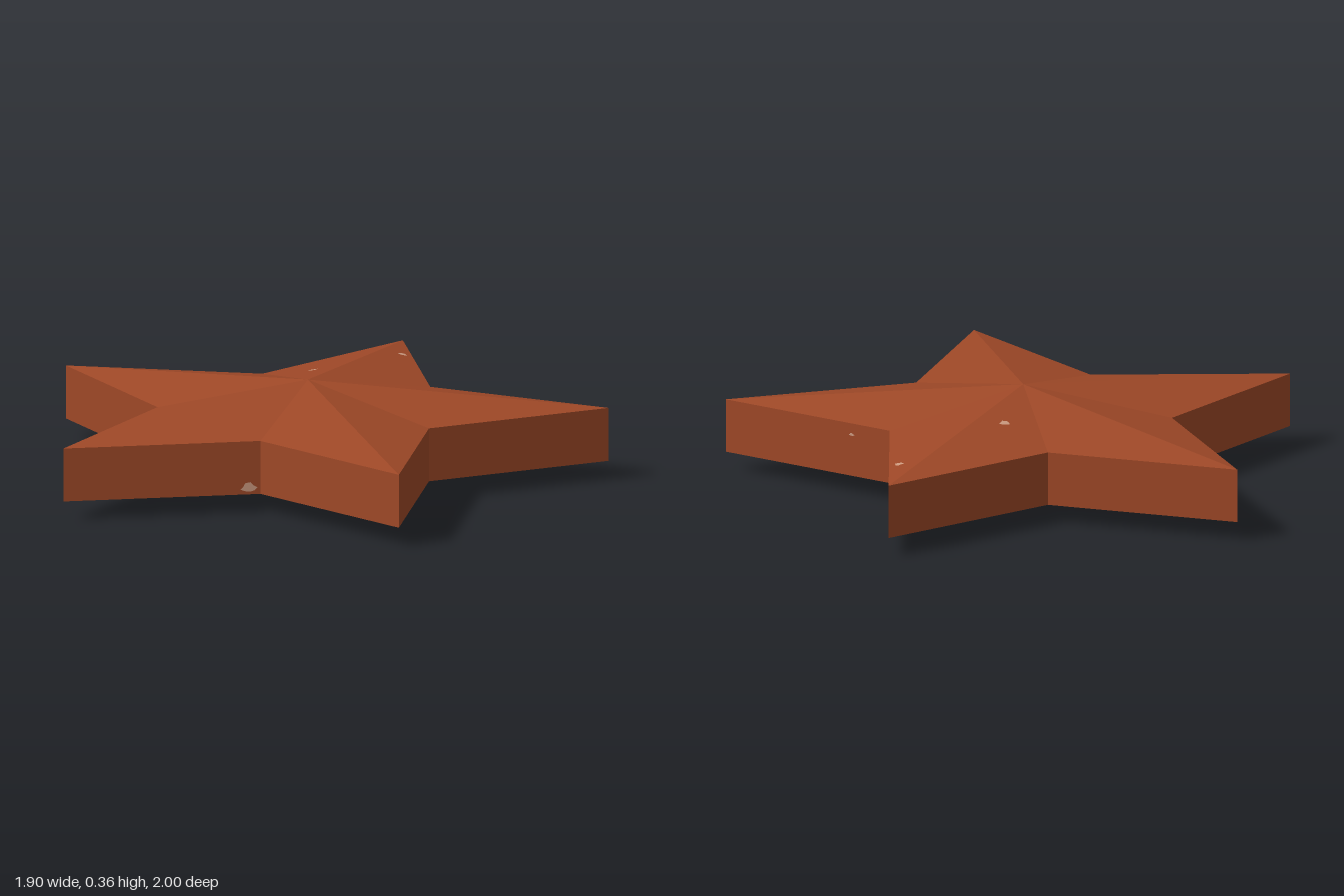
import * as THREE from 'three';

const CX = 0.1, TIP = 1.05, NOTCH = 0.525;
const RIM_TOP = 0.26, RIM_LOW = 0.07, APEX_TOP = 0.36, APEX_LOW = 0.003;
const STEP = Math.PI / 5;

// Outline corner i: even corners are notches, odd corners are tips
function corner(i, y) {
  const r = i % 2 ? TIP : NOTCH;
  return new THREE.Vector3(CX + r * Math.cos(i * STEP), y, r * Math.sin(i * STEP));
}

// The three kinds of facet, each for outline edge i
const upper = new THREE.Vector3(CX, APEX_TOP, 0);
const lower = new THREE.Vector3(CX, APEX_LOW, 0);
const facets = {
  top: (i) => [upper, corner(i + 1, RIM_TOP), corner(i, RIM_TOP)],
  bottom: (i) => [lower, corner(i, RIM_LOW), corner(i + 1, RIM_LOW)],
  wall: (i) => {
    const a = corner(i, RIM_LOW), b = corner(i, RIM_TOP);
    const c = corner(i + 1, RIM_TOP), d = corner(i + 1, RIM_LOW);
    return [a, b, c, a, c, d];
  },
};

function facetMesh(name, kind, material) {
  const points = [];
  for (let i = 0; i < 10; i++) points.push(...facets[kind](i));
  const geometry = new THREE.BufferGeometry().setFromPoints(points);
  geometry.computeVertexNormals();
  const mesh = new THREE.Mesh(geometry, material);
  mesh.name = name;
  return mesh;
}

// Small ragged fleck lying just above the facet beneath (x, z)
function fleck({ kind, x, z, y, w, h }, material) {
  const angle = (Math.atan2(z, x - CX) + 2 * Math.PI) % (2 * Math.PI);
  const [a, b, c] = facets[kind](Math.floor(angle / STEP));
  const plane = new THREE.Plane().setFromCoplanarPoints(a, b, c);
  const n = plane.normal;
  const at = new THREE.Vector3(x, y ?? 0, z);
  if (kind === 'wall') plane.projectPoint(at.clone(), at);
  else at.y = -(plane.constant + n.x * x + n.z * z) / n.y;

  const geometry = new THREE.CircleGeometry(1, 9);
  const p = geometry.attributes.position;
  for (let i = 1; i < p.count; i++) {
    const k = 0.85 + 0.2 * Math.sin((i % 9) * 2.3);
    p.setXY(i, p.getX(i) * k, p.getY(i) * k);
  }
  geometry.scale(w / 2, h / 2, 1);
  const mesh = new THREE.Mesh(geometry, material);
  mesh.name = 'fleck';
  mesh.position.copy(at).addScaledVector(n, 0.002);
  mesh.quaternion.setFromUnitVectors(new THREE.Vector3(0, 0, 1), n);
  return mesh;
}

export function createModel() {
  const rust = new THREE.MeshStandardMaterial({ color: 0x9e4827 });
  rust.name = 'rust brown';
  const tan = new THREE.MeshStandardMaterial({ color: 0xcc9a80 });
  tan.name = 'pale tan';

  const group = new THREE.Group();
  group.name = 'star';

  // Faceted body
  group.add(
    facetMesh('upperFacets', 'top', rust),
    facetMesh('rimWall', 'wall', rust),
    facetMesh('lowerFacets', 'bottom', rust),
  );

  // Worn flecks
  const flecks = [
    { kind: 'top', x: -0.08, z: -0.8, w: 0.04, h: 0.035 },
    { kind: 'top', x: -0.085, z: -0.28, w: 0.035, h: 0.045 },
    { kind: 'wall', x: 0.235, z: 0.53, y: 0.095, w: 0.06, h: 0.04 },
    { kind: 'wall', x: -0.17, z: -0.94, y: 0.17, w: 0.04, h: 0.014 },
    { kind: 'wall', x: 0.42, z: -0.53, y: 0.22, w: 0.025, h: 0.012 },
    { kind: 'bottom', x: -0.02, z: 0.24, w: 0.025, h: 0.03 },
    { kind: 'bottom', x: 0.37, z: -0.13, w: 0.02, h: 0.015 },
  ];
  for (const f of flecks) group.add(fleck(f, tan));
  return group;
}
